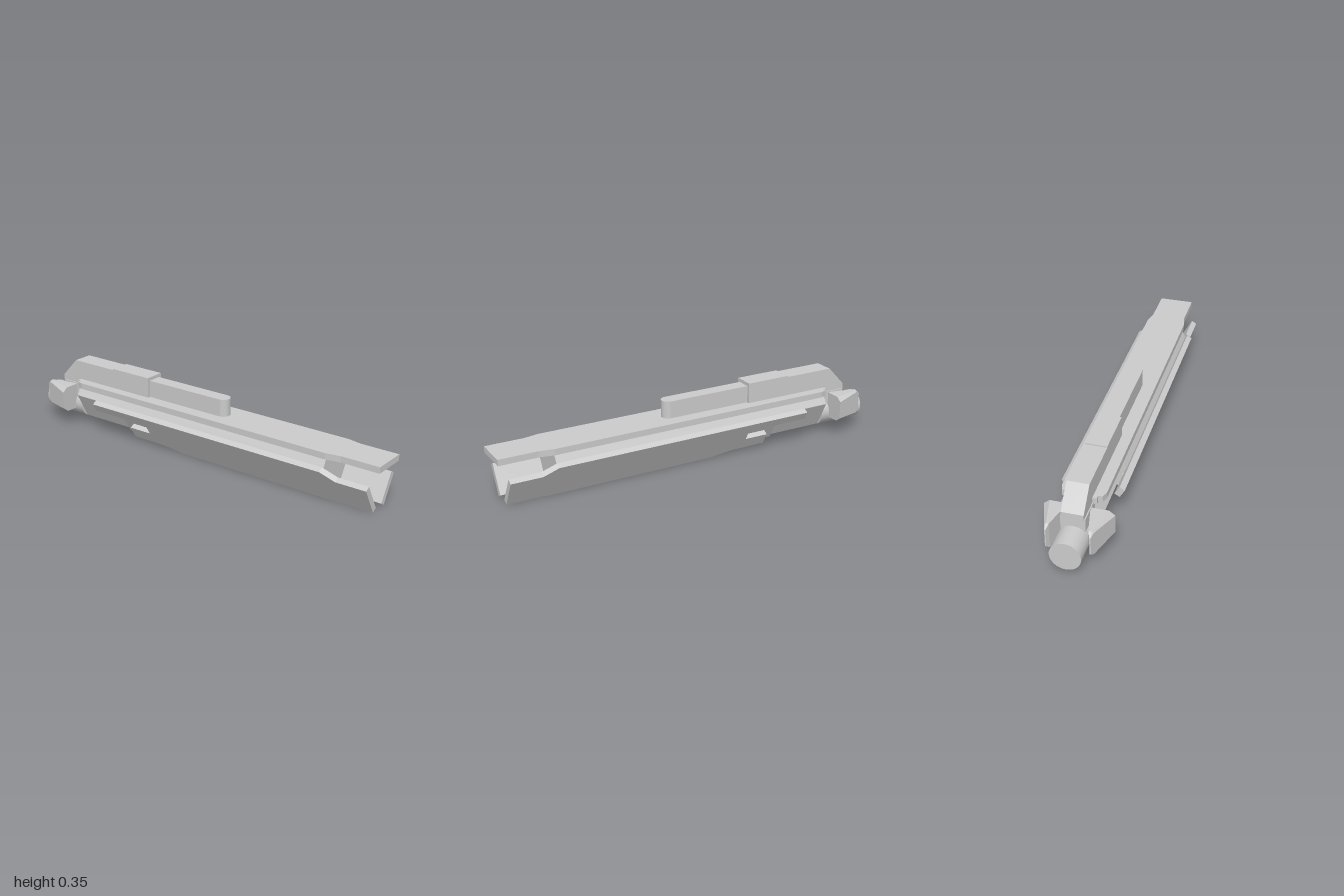
import * as THREE from 'three';

const material = new THREE.MeshStandardMaterial({ color: 0xcccccc });

// Joins convex [z, y] cross-sections placed along x, with capped ends.
function loft(sections) {
  const rings = sections.map(([x, pts]) => {
    let area = 0;
    pts.forEach(([z, y], i) => {
      const [zn, yn] = pts[(i + 1) % pts.length];
      area += y * zn - yn * z;
    });
    const ordered = area < 0 ? [...pts].reverse() : pts;
    return ordered.map(([z, y]) => [x, y, z]);
  });
  const pos = [];
  const tri = (...corners) => corners.forEach((c) => pos.push(...c));
  const n = rings[0].length;
  for (let r = 0; r < rings.length - 1; r++) {
    for (let i = 0; i < n; i++) {
      const j = (i + 1) % n;
      const [a, b, c, d] = [rings[r][i], rings[r + 1][i], rings[r + 1][j], rings[r][j]];
      tri(a, d, c);
      tri(a, c, b);
    }
  }
  const first = rings[0], last = rings[rings.length - 1];
  for (let i = 1; i < n - 1; i++) {
    tri(first[0], first[i + 1], first[i]);
    tri(last[0], last[i], last[i + 1]);
  }
  const geo = new THREE.BufferGeometry();
  geo.setAttribute('position', new THREE.Float32BufferAttribute(pos, 3));
  geo.computeVertexNormals();
  return geo;
}

const shapeOf = (pts) => new THREE.Shape(pts.map(([x, y]) => new THREE.Vector2(x, y)));
const extrude = (shape, depth) =>
  new THREE.ExtrudeGeometry(shape, { depth, bevelEnabled: false, curveSegments: 16 });

// Completes a half section or half outline by mirroring it.
const mirrorZ = (half) => [...half, ...half.map(([z, y]) => [-z, y]).reverse()];
const mirrorOutline = (half) => [...half, ...half.map(([x, z]) => [x, -z]).reverse()];

export function createModel() {
  const model = new THREE.Group();
  const add = (name, geo) => {
    const mesh = new THREE.Mesh(geo, material);
    mesh.name = name;
    model.add(mesh);
    return mesh;
  };

  // Long flat cover with a narrowed front and chamfered rear
  const cover = mirrorOutline([[-0.77, 0.07], [-0.75, 0.07], [-0.75, 0.09], [-0.72, 0.1],
    [0.74, 0.1], [0.81, 0.086], [1, 0.086]]);
  add('topCover', extrude(shapeOf(cover), 0.03).rotateX(-Math.PI / 2).translate(0, 0.22, 0));

  // Raised housing with a sloping rear
  const housing = shapeOf([[-0.89, 0.22], [-0.31, 0.22], [-0.31, 0.352], [-0.54, 0.352],
    [-0.54, 0.346], [-0.8, 0.346], [-0.89, 0.25]]);
  add('topHousing', extrude(housing, 0.1).translate(0, 0, -0.05));

  // Low rail with a rounded front end
  const rail = new THREE.Shape();
  rail.moveTo(-0.32, -0.035);
  rail.lineTo(0.115, -0.035);
  rail.absarc(0.115, 0, 0.035, -Math.PI / 2, Math.PI / 2, false);
  rail.lineTo(-0.32, 0.035);
  add('topRail', extrude(rail, 0.09).rotateX(-Math.PI / 2).translate(0, 0.245, 0));

  // Faceted core, slimmer at the rear
  const rear = mirrorZ([[0.075, 0.22], [0.1, 0.178], [0.035, 0.05]]);
  add('rearCore', loft([[-0.75, rear], [-0.455, rear]]));
  const front = mirrorZ([[0.088, 0.22], [0.111, 0.18], [0.029, 0.036]]);
  add('frontCore', loft([[-0.455, front], [0.74, front]]));
  const keel = mirrorZ([[0.027, 0.037], [0.024, 0.028], [0.013, 0.02]]);
  add('keel', loft([[-0.38, keel], [0.73, keel]]));
  const neck = mirrorZ([[0.055, 0.225], [0.055, 0.16]]);
  add('rearNeck', loft([[-0.885, neck], [-0.74, neck]]));

  // Tilted side panels with a long slot near the rear
  const panel = shapeOf([[-0.6, 0.152], [-0.27, 0.152], [-0.27, 0.091], [-0.295, 0.091],
    [-0.395, 0.091], [-0.395, 0.025], [-0.2, 0.022], [-0.15, 0.014], [-0.1, 0.002],
    [0.77, 0.002], [0.79, 0.008], [0.962, 0.008], [0.962, 0.158], [0.81, 0.158],
    [0.74, 0.199], [-0.6, 0.199]]);
  const panelGeo = extrude(panel, 0.028);
  const leftPanel = add('leftPanel', panelGeo);
  leftPanel.rotation.x = Math.PI / 6;
  leftPanel.position.set(0, 0.017, 0.021);
  const rightPanel = add('rightPanel', panelGeo);
  rightPanel.rotation.x = -Math.PI / 6;
  rightPanel.position.set(0, 0.003, -0.045);

  // Rear tube
  add('rearTube', new THREE.CylinderGeometry(0.07, 0.07, 0.25, 40)
    .rotateZ(Math.PI / 2).translate(-0.875, 0.11, 0));

  // Flared wedges on both sides of the tube
  const wedge = (zi, zo, y0, y1, cut, chamfer) => [[zi, y0], [zo - cut, y0], [zo, y0 + chamfer],
    [zo, y1 - chamfer], [zo - cut, y1], [zi, y1]];
  for (const [name, side] of [['leftWedge', 1], ['rightWedge', -1]]) {
    const sections = [
      [-0.96, wedge(0.094, 0.1, 0.11, 0.2, 0.002, 0.002)],
      [-0.94, wedge(0.085, 0.107, 0.09, 0.22, 0.008, 0.008)],
      [-0.795, wedge(0.05, 0.158, 0.089, 0.219, 0.027, 0.021)],
    ];
    add(name, loft(sections.map(([x, pts]) => [x, pts.map(([z, y]) => [z * side, y])])));
  }

  return model;
}
